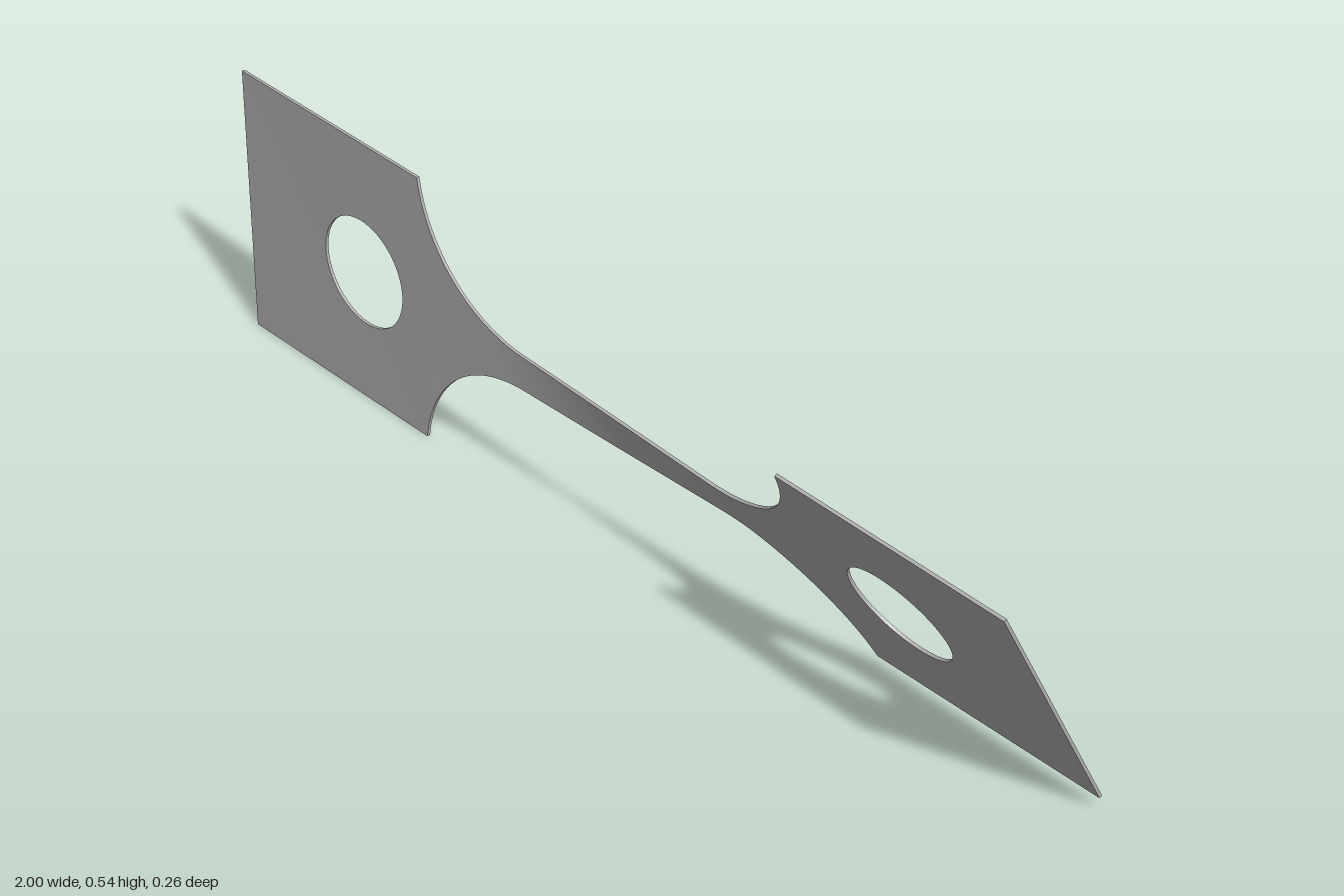
import * as THREE from 'three';

const HALF = 0.27;       // half height of the tabs
const WAIST = 0.0365;    // half height of the gauge
const THICK = 0.006;
const FILLET_X = 0.24;   // where the fillets begin
const RADIUS = 0.27;
const TAB_X = FILLET_X + Math.sqrt(RADIUS ** 2 - (WAIST + RADIUS - HALF) ** 2);
const CENTRE_Y = 0.271;

// Twist angle in degrees along x, nearly all of it in the gauge
const TWIST = [[-1, 0.2], [-0.5, 0.6], [-0.3, 1.4], [0.3, 26.6], [0.5, 27.4], [1, 28]];

function twistAt(x) {
  for (let i = 1; i < TWIST.length; i++) {
    const [x0, a0] = TWIST[i - 1], [x1, a1] = TWIST[i];
    if (x <= x1 || i === TWIST.length - 1) {
      return THREE.MathUtils.degToRad(a0 + (a1 - a0) * (x - x0) / (x1 - x0));
    }
  }
}

// Half height of the neck at x: straight gauge, then circular fillets
function halfHeight(x) {
  const d = Math.max(0, Math.abs(x) - FILLET_X);
  return WAIST + RADIUS - Math.sqrt(Math.max(0, RADIUS ** 2 - d * d));
}

// Turn every vertex about the long axis by the local twist
function twist(geometry) {
  const p = geometry.attributes.position;
  for (let i = 0; i < p.count; i++) {
    const x = p.getX(i), y = p.getY(i), z = p.getZ(i), a = twistAt(x);
    p.setXYZ(i, x, CENTRE_Y + y * Math.cos(a) - z * Math.sin(a), y * Math.sin(a) + z * Math.cos(a));
  }
  geometry.computeVertexNormals();
  return geometry;
}

// Flat end plate with a round hole
function tabGeometry(side) {
  const [x0, x1] = side > 0 ? [TAB_X, 1] : [-1, -TAB_X];
  const shape = new THREE.Shape([
    new THREE.Vector2(x0, -HALF), new THREE.Vector2(x1, -HALF),
    new THREE.Vector2(x1, HALF), new THREE.Vector2(x0, HALF),
  ]);
  shape.holes.push(new THREE.Path().absarc(side * 0.67, 0, 0.108, 0, Math.PI * 2, true));
  const geometry = new THREE.ExtrudeGeometry(shape, { depth: THICK, bevelEnabled: false, curveSegments: 32 });
  return twist(geometry.translate(0, 0, -THICK / 2));
}

// Narrow gauge with flared fillets
function neckGeometry() {
  const geometry = new THREE.BoxGeometry(2 * TAB_X, 2, THICK, 200, 8, 1);
  const p = geometry.attributes.position;
  for (let i = 0; i < p.count; i++) p.setY(i, p.getY(i) * halfHeight(p.getX(i)));
  return twist(geometry);
}

export function createModel() {
  const group = new THREE.Group();
  group.name = 'twistedTestBar';
  const steel = new THREE.MeshStandardMaterial({ color: 0xb0b0b0 });
  steel.name = 'steel grey';
  const add = (name, geometry) => {
    const mesh = new THREE.Mesh(geometry, steel);
    mesh.name = name;
    group.add(mesh);
  };
  add('neck', neckGeometry());
  add('leftTab', tabGeometry(1));
  add('rightTab', tabGeometry(-1));
  return group;
}
